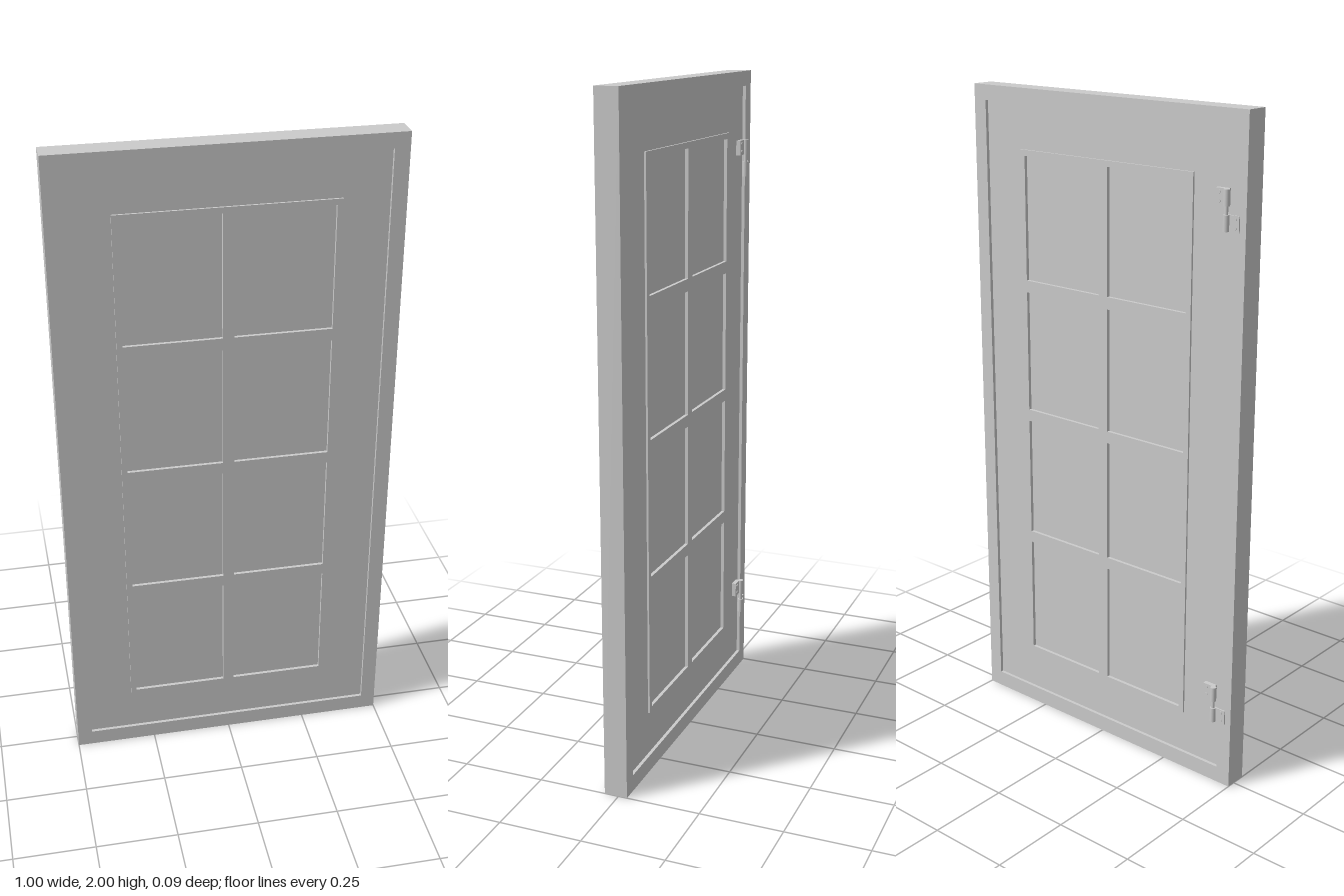
import * as THREE from 'three';

const grey = new THREE.MeshStandardMaterial({ color: 0xcccccc });
const MID = 0.008; // middle of the frame thickness

function addMesh(parent, name, geometry, x = 0, y = 0, z = 0) {
  const mesh = new THREE.Mesh(geometry, grey);
  mesh.name = name;
  mesh.position.set(x, y, z);
  parent.add(mesh);
  return mesh;
}

function rectangle(Type, x0, y0, x1, y1) {
  return new Type([[x0, y0], [x1, y0], [x1, y1], [x0, y1]].map(([x, y]) => new THREE.Vector2(x, y)));
}

// Flat slab with rectangular holes, centred on the middle plane
function slab(outer, holes, depth) {
  const shape = rectangle(THREE.Shape, ...outer);
  holes.forEach((h) => shape.holes.push(rectangle(THREE.Path, ...h)));
  return new THREE.ExtrudeGeometry(shape, { depth, bevelEnabled: false }).translate(0, 0, MID - depth / 2);
}

// Lift-off hinge: two offset leaves, two knuckles and a pin
function createHinge() {
  const hinge = new THREE.Group();
  hinge.name = 'hinge';
  const z = -0.034;
  addMesh(hinge, 'hingePin', new THREE.CylinderGeometry(0.005, 0.005, 0.11, 12), 0, 0, z);
  for (const side of [1, -1]) {
    const y = side * 0.034;
    addMesh(hinge, 'hingeKnuckle', new THREE.CylinderGeometry(0.009, 0.009, 0.045, 16), 0, y, z);
    const inner = side > 0 ? -0.016 : -0.026;
    addMesh(hinge, 'hingeLeaf', new THREE.BoxGeometry(0.04, 0.045, inner + 0.031), side * 0.02, y, (inner - 0.031) / 2);
    // Screw heads
    for (const dy of [-0.012, 0.012]) {
      const screw = addMesh(hinge, 'hingeScrew', new THREE.CylinderGeometry(0.005, 0.005, 0.003, 12), side * 0.027, y + dy, -0.0315);
      screw.rotation.x = Math.PI / 2;
    }
  }
  return hinge;
}

export function createModel() {
  const model = new THREE.Group();
  model.name = 'panelledWindow';

  // Outer frame and the recessed sash inside it
  const sashEdge = [-0.455, 0.05, 0.455, 1.955];
  const gridEdge = [-0.32, 0.183, 0.32, 1.822];
  addMesh(model, 'outerFrame', slab([-0.5, 0, 0.5, 2], [sashEdge], 0.07));
  addMesh(model, 'sash', slab(sashEdge, [gridEdge], 0.05));

  // Raised glazing grid with two columns and four rows of openings
  const openings = [];
  for (let row = 0; row < 4; row++) {
    const y = 0.198 + row * 0.4108;
    for (const x of [-0.303, 0.017]) openings.push([x, y, x + 0.286, y + 0.374]);
  }
  addMesh(model, 'glazingGrid', slab(gridEdge, openings, 0.062));
  for (const [x0, y0, x1, y1] of openings) {
    addMesh(model, 'pane', new THREE.BoxGeometry(x1 - x0, y1 - y0, 0.042), (x0 + x1) / 2, (y0 + y1) / 2, MID);
  }

  // Hinges on the back
  for (const y of [0.262, 1.735]) {
    const hinge = createHinge();
    hinge.position.set(-0.44, y, 0);
    model.add(hinge);
  }
  return model;
}
